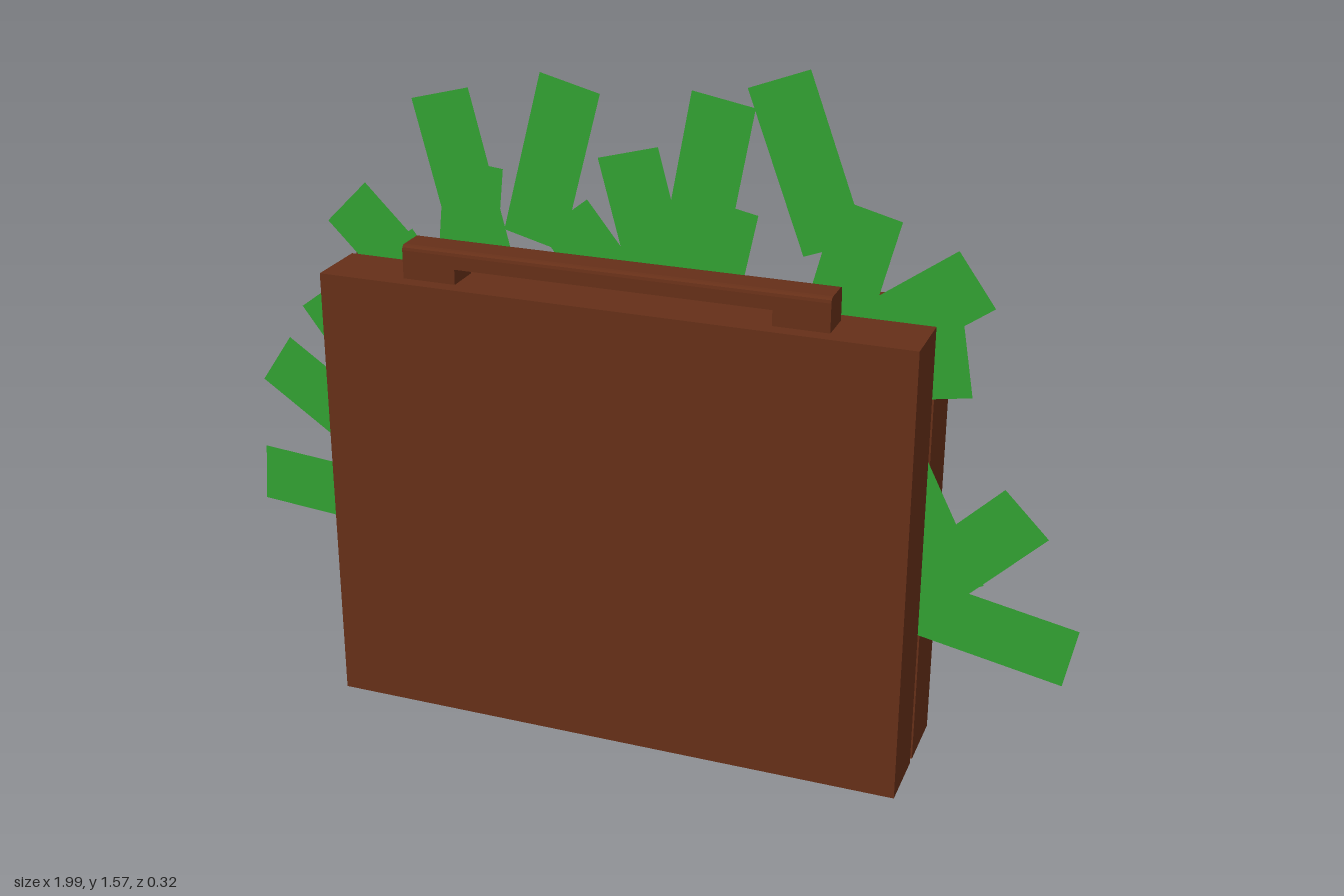
import * as THREE from 'three';

const leather = new THREE.MeshStandardMaterial({ color: 0x652f18, flatShading: true });
const paper = new THREE.MeshStandardMaterial({ color: 0x32a032, side: THREE.DoubleSide });

const LEFT = -0.71, RIGHT = 0.65, TOP = 1.06;

// Box given by its minimum and maximum corners
function block(name, [x0, y0, z0], [x1, y1, z1]) {
  const geo = new THREE.BoxGeometry(x1 - x0, y1 - y0, z1 - z0);
  geo.translate((x0 + x1) / 2, (y0 + y1) / 2, (z0 + z1) / 2);
  const mesh = new THREE.Mesh(geo, leather);
  mesh.name = name;
  return mesh;
}

function createCase() {
  const g = new THREE.Group();
  g.name = 'case';
  const depth = 0.04;
  g.add(block('frontHalf', [LEFT, 0, 0.01], [RIGHT, TOP, 0.16]));
  g.add(block('backHalf', [LEFT, 0, -0.16], [RIGHT, TOP - depth, -0.01]));
  // Seam between the halves, slightly inset
  g.add(block('seam', [LEFT + 0.008, 0.008, -0.012], [RIGHT - 0.008, TOP - 0.006, 0.012]));

  // Rim of the back half with a rectangular recess (shape y becomes -z)
  const rect = (Type, x0, y0, x1, y1) => new Type([[x0, y0], [x1, y0], [x1, y1], [x0, y1]]
    .map(([x, y]) => new THREE.Vector2(x, y)));
  const shape = rect(THREE.Shape, LEFT, 0.01, RIGHT, 0.16);
  shape.holes.push(rect(THREE.Path, -0.14, 0.03, 0.07, 0.145));
  const geo = new THREE.ExtrudeGeometry(shape, { depth, bevelEnabled: false });
  geo.rotateX(-Math.PI / 2).translate(0, TOP - depth, 0);
  const rim = new THREE.Mesh(geo, leather);
  rim.name = 'backHalfRecessedTop';
  g.add(rim);
  return g;
}

function createHandle() {
  const g = new THREE.Group();
  g.name = 'handle';
  const x0 = -0.52, x1 = 0.455, z0 = 0.043, z1 = 0.125, low = 1.095, high = 1.137, r = 0.012;
  // Grip: side profile with softened top edges, extruded along x
  const s = new THREE.Shape();
  s.moveTo(-z1, low);
  s.lineTo(-z0, low);
  s.lineTo(-z0, high - r);
  s.quadraticCurveTo(-z0, high, -z0 - r, high);
  s.lineTo(-z1 + r, high);
  s.quadraticCurveTo(-z1, high, -z1, high - r);
  s.closePath();
  const geo = new THREE.ExtrudeGeometry(s, { depth: x1 - x0, bevelEnabled: false, curveSegments: 3 });
  geo.rotateY(Math.PI / 2).translate(x0, 0, 0);
  const grip = new THREE.Mesh(geo, leather);
  grip.name = 'grip';
  g.add(grip);
  // Feet at both ends
  g.add(block('rightFoot', [x0, TOP, z0], [-0.395, low, z1]));
  g.add(block('leftFoot', [0.33, TOP, z0], [x1, low, z1]));
  return g;
}

// Each banknote: middle of its outer end (x, y), outward direction (dx, dy), optional length
const NOTES = [
  [-0.99, 0.46, -0.997, 0.078], [-0.936, 0.767, -0.83, 0.56],
  [-0.813, 0.853, -0.8, -0.6], [-0.722, 1.179, -0.71, 0.71],
  [-0.476, 1.452, -0.25, 0.97], [-0.4, 1.302, 0.1, 0.99],
  [-0.168, 1.5, 0.25, 0.97], [-0.187, 1.203, -0.62, 0.78],
  [-0.037, 1.361, -0.26, 0.97], [0.176, 1.495, 0.18, 0.98],
  [0.187, 1.267, 0.2, 0.98], [0.294, 1.548, -0.35, 0.94],
  [0.497, 1.291, 0.25, 0.97], [0.727, 1.168, 0.81, 0.58],
  [0.663, 0.896, 0.17, -0.98, 0.24], [0.722, 0.444, 0.45, -0.89],
  [0.866, 0.66, 0.71, 0.7], [0.984, 0.334, 0.98, -0.19],
];

function createNotes() {
  const g = new THREE.Group();
  g.name = 'banknotes';
  for (const [x, y, dx, dy, length = 0.372] of NOTES) {
    const geo = new THREE.PlaneGeometry(length, 0.142).translate(-length / 2, 0, 0);
    const note = new THREE.Mesh(geo, paper);
    note.name = 'banknote';
    note.position.set(x, y, 0);
    note.rotation.z = Math.atan2(dy, dx);
    g.add(note);
  }
  return g;
}

export function createModel() {
  const model = new THREE.Group();
  model.name = 'briefcaseOfBanknotes';
  model.add(createCase(), createHandle(), createNotes());
  return model;
}
